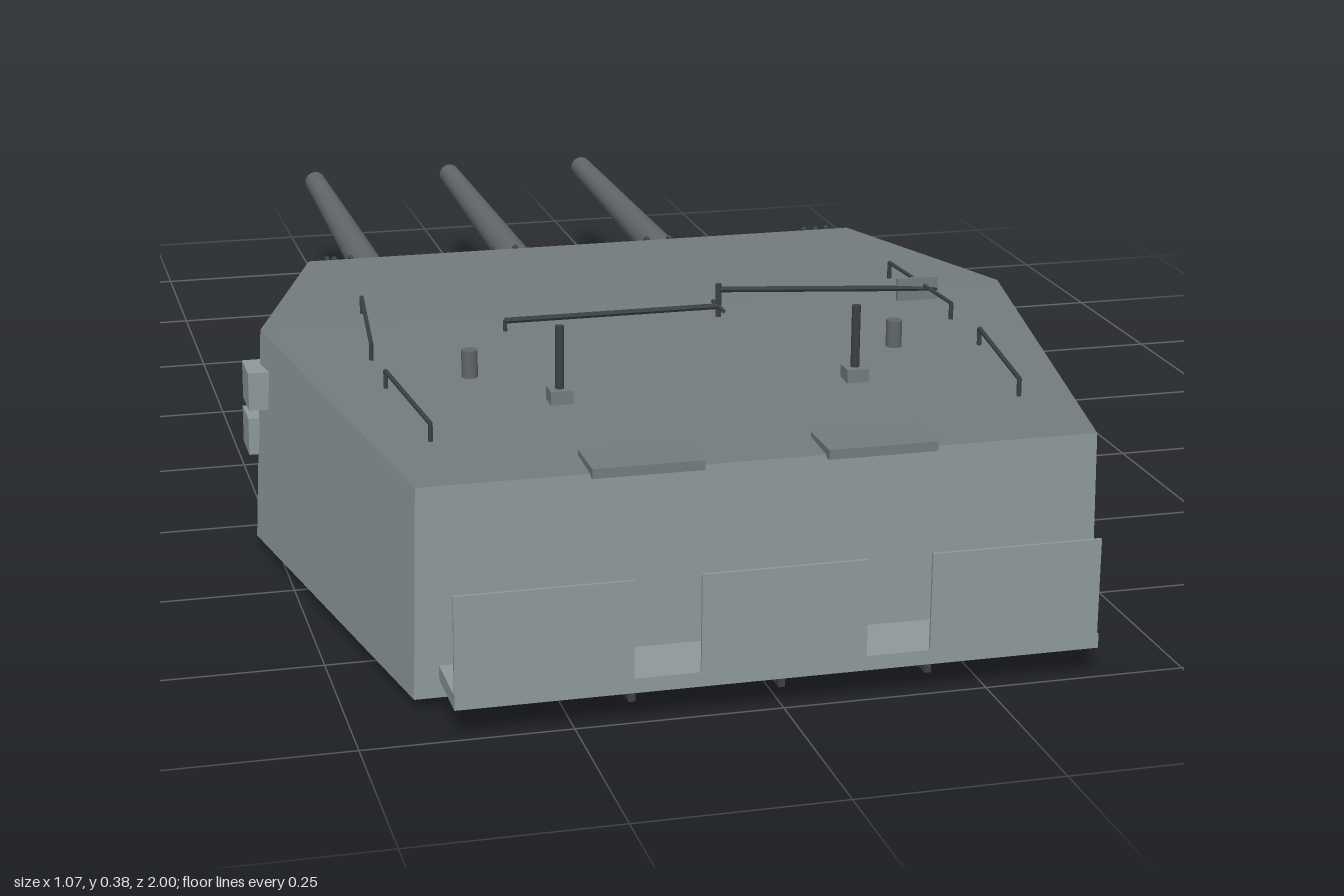
import * as THREE from 'three';

const mat = (color, flatShading = true) =>
  new THREE.MeshStandardMaterial({ color, flatShading, side: THREE.DoubleSide });
const HULL = mat(0x8f999c), ROOF = mat(0x737c7e), DARK = mat(0x3c4144);
const STEEL = mat(0x62676c, false), CANVAS = mat(0xc4bfae, false);

function add(parent, name, geometry, material) {
  const mesh = new THREE.Mesh(geometry, material);
  mesh.name = name;
  parent.add(mesh);
  return mesh;
}

// Box given by its lower and upper limits
function box(parent, name, [x0, x1], [y0, y1], [z0, z1], material = HULL) {
  const m = add(parent, name, new THREE.BoxGeometry(x1 - x0, y1 - y0, z1 - z0), material);
  m.position.set((x0 + x1) / 2, (y0 + y1) / 2, (z0 + z1) / 2);
  return m;
}

// Round bar from a to b, optionally tapered
function rod(parent, name, a, b, r0 = 0.003, r1 = r0, material = DARK, sides = 6) {
  const A = new THREE.Vector3(...a), B = new THREE.Vector3(...b);
  const dir = B.clone().sub(A);
  const m = add(parent, name, new THREE.CylinderGeometry(r1, r0, dir.length(), sides), material);
  m.position.copy(A).add(B).multiplyScalar(0.5);
  m.quaternion.setFromUnitVectors(new THREE.Vector3(0, 1, 0), dir.normalize());
  return m;
}

// Flat-faced surface from quads of corner points
function quads(list) {
  const pos = list.flatMap(([a, b, c, d]) => [a, b, c, a, c, d].flat());
  const g = new THREE.BufferGeometry();
  g.setAttribute('position', new THREE.Float32BufferAttribute(pos, 3));
  g.computeVertexNormals();
  return g;
}

const roofY = z => 0.30 - 0.025 * Math.max(0, (z - 0.33) / 0.58);
// Point on the sloped gun face: t runs from roof to foot, lift is distance off the plate
const onFace = (x, t, lift = 0) =>
  [x, 0.30 - 0.285 * t + 0.534 * lift, 0.01 - 0.18 * t - 0.845 * lift];

function buildHull(g) {
  const mirror = half => [...half, ...half.slice().reverse().map(([x, y, z]) => [-x, y, z])];
  const b = mirror([[0.42, 0.015, 0.91], [0.525, 0.015, 0.33], [0.39, 0.015, -0.17]]);
  const t = mirror([[0.415, 0.275, 0.91], [0.512, 0.30, 0.33], [0.40, 0.30, 0.01]]);
  const walls = b.map((p, i) => {
    const j = (i + 1) % 6;
    return [p, b[j], t[j], t[i]];
  });
  walls.push([b[5], b[4], b[1], b[0]], [b[4], b[3], b[2], b[1]]);
  add(g, 'armourWalls', quads(walls), HULL);
  add(g, 'roof', quads([[t[0], t[1], t[4], t[5]], [t[1], t[2], t[3], t[4]]]), ROOF);

  const ring = add(g, 'baseRing', new THREE.CylinderGeometry(0.48, 0.48, 0.016, 64), mat(0x7a8284, false));
  ring.position.set(0, 0.008, 0.265);
}

// Canvas bag lofted from ellipses that tilt from the gun face to the barrel axis
function bagGeometry() {
  // centre z, centre y, half width, half height, tilt in z
  const sections = [
    [-0.075, 0.166, 0.068, 0.125, 0.083], [-0.105, 0.166, 0.073, 0.118, 0.068],
    [-0.15, 0.162, 0.063, 0.09, 0.045], [-0.195, 0.157, 0.048, 0.06, 0.02],
    [-0.235, 0.153, 0.033, 0.037, 0], [-0.242, 0.152, 0.02, 0.02, 0],
  ];
  const n = 24, pos = [], idx = [];
  sections.forEach(([cz, cy, rx, ry, rz], i) => {
    for (let j = 0; j < n; j++) {
      const a = (j / n) * Math.PI * 2, s = Math.sin(a);
      pos.push(rx * Math.cos(a), cy + ry * s, cz + rz * s);
      if (i === sections.length - 1) continue;
      const p = i * n + j, q = i * n + (j + 1) % n;
      idx.push(p, p + n, q, q, p + n, q + n);
    }
  });
  const g = new THREE.BufferGeometry();
  g.setAttribute('position', new THREE.Float32BufferAttribute(pos, 3));
  g.setIndex(idx);
  g.computeVertexNormals();
  return g;
}

function buildGuns(g) {
  const bag = bagGeometry();
  for (const x of [-0.24, 0, 0.24]) {
    const gun = new THREE.Group();
    gun.name = 'gun';
    gun.position.x = x;
    add(gun, 'blastBag', bag, CANVAS);
    rod(gun, 'barrel', [0, 0.151, -0.2], [0, 0.165, -1], 0.029, 0.0175, STEEL, 24);
    g.add(gun);
  }
}

function buildFrontPlatform(g) {
  box(g, 'frontPlatformFloor', [-0.315, 0.315], [0.018, 0.026], [-0.4, -0.16]);
  box(g, 'frontPlatformLip', [-0.315, 0.315], [0.018, 0.05], [-0.402, -0.397]);
  for (const [x0, x1] of [[-0.315, -0.28], [-0.19, -0.05], [0.05, 0.19], [0.28, 0.315]])
    box(g, 'frontPlatformShield', [x0, x1], [0.05, 0.085], [-0.402, -0.397]);
  for (const s of [-1, 1]) {
    const side = box(g, 'frontPlatformSide', [-0.0025, 0.0025], [0.018, 0.085], [-0.4, -0.12]);
    side.position.x = s * 0.3125;
    // Handrail from the roof edge down to the platform corner
    rod(g, 'slopeHandrail', [s * 0.36, 0.295, -0.015], [s * 0.313, 0.1, -0.4], 0.004);
    rod(g, 'handrailPost', [s * 0.329, 0.03, -0.26], [s * 0.329, 0.17, -0.26]);
    rod(g, 'handrailPost', [s * 0.313, 0.03, -0.398], [s * 0.313, 0.1, -0.398]);
  }
  // Ladders beside and between the guns
  for (const x of [-0.355, -0.115, 0.115, 0.355]) {
    for (const s of [-1, 1])
      rod(g, 'ladderRail', onFace(x + s * 0.017, 0.02, 0.01), onFace(x + s * 0.017, 0.96, 0.01), 0.004);
    for (let i = 0; i < 8; i++) {
      const t = 0.07 + i * 0.12;
      rod(g, 'ladderRung', onFace(x - 0.017, t, 0.01), onFace(x + 0.017, t, 0.01));
    }
  }
}

function buildRearPlatform(g) {
  box(g, 'rearPlatformFloor', [-0.39, 0.39], [0.037, 0.055], [0.905, 1]);
  for (const [x0, x1] of [[-0.39, -0.18], [-0.1, 0.1], [0.178, 0.388]])
    box(g, 'rearShield', [x0, x1], [0.05, 0.175], [0.996, 1]);
  for (const x of [-0.18, 0, 0.18])
    box(g, 'rearBracket', [x - 0.004, x + 0.004], [0.022, 0.037], [0.905, 0.99], DARK);
}

function buildRoofFittings(g) {
  for (const s of [-1, 1]) {
    const xm = s * 0.19, xp = s * 0.28, xh = s * 0.1425;
    box(g, 'mastFoot', [xm - 0.014, xm + 0.014], [0.275, 0.302], [0.656, 0.684], ROOF);
    rod(g, 'mast', [xm, 0.28, 0.67], [xm, 0.382, 0.67], 0.0055, 0.0055, DARK, 10);
    rod(g, 'periscope', [xp, 0.28, 0.56], [xp, 0.325, 0.56], 0.0105, 0.0105, STEEL, 12);
    box(g, 'roofHatch', [xh - 0.0675, xh + 0.0675], [0.272, 0.284], [0.85, 0.92], ROOF);

    // Roof handrails
    for (const [[xa, za], [xb, zb]] of [[[0.37, 0.285], [0.39, 0.475]], [[0.39, 0.58], [0.37, 0.77]]]) {
      const a = [s * xa, roofY(za) + 0.022, za], b = [s * xb, roofY(zb) + 0.022, zb];
      rod(g, 'roofHandrail', a, b);
      for (const [x, y, z] of [a, b]) rod(g, 'roofRailPost', [x, y - 0.026, z], [x, y, z]);
    }

    // Side sight housings
    const side = new THREE.Group();
    side.name = 'sideFittings';
    box(side, 'upperSightHousing', [0.495, 0.535], [0.203, 0.254], [0.31, 0.37]);
    box(side, 'lowerSightHousing', [0.495, 0.532], [0.13, 0.18], [0.275, 0.333]);
    side.scale.x = s;
    g.add(side);
  }

  // Cross-roof aerial
  const z = 0.4;
  rod(g, 'aerialBar', [-0.2, 0.311, z], [0.09, 0.311, z], 0.004);
  rod(g, 'aerialBar', [0.09, 0.334, z], [0.4, 0.313, z - 0.008], 0.004);
  rod(g, 'aerialPost', [0.09, 0.295, z], [0.09, 0.342, z], 0.004);
  rod(g, 'aerialPost', [-0.2, 0.295, z], [-0.2, 0.311, z]);
  rod(g, 'aerialCross', [0.09, 0.311, z - 0.025], [0.09, 0.311, z + 0.025]);
  box(g, 'aerialPlate', [0.343, 0.4], [0.299, 0.33], [z - 0.01, z - 0.005], ROOF);
}

export function createModel() {
  const model = new THREE.Group();
  model.name = 'gunTurret';
  for (const [name, build] of [['hull', buildHull], ['guns', buildGuns], ['frontPlatform', buildFrontPlatform],
    ['rearPlatform', buildRearPlatform], ['roofFittings', buildRoofFittings]]) {
    const part = new THREE.Group();
    part.name = name;
    build(part);
    model.add(part);
  }
  return model;
}
